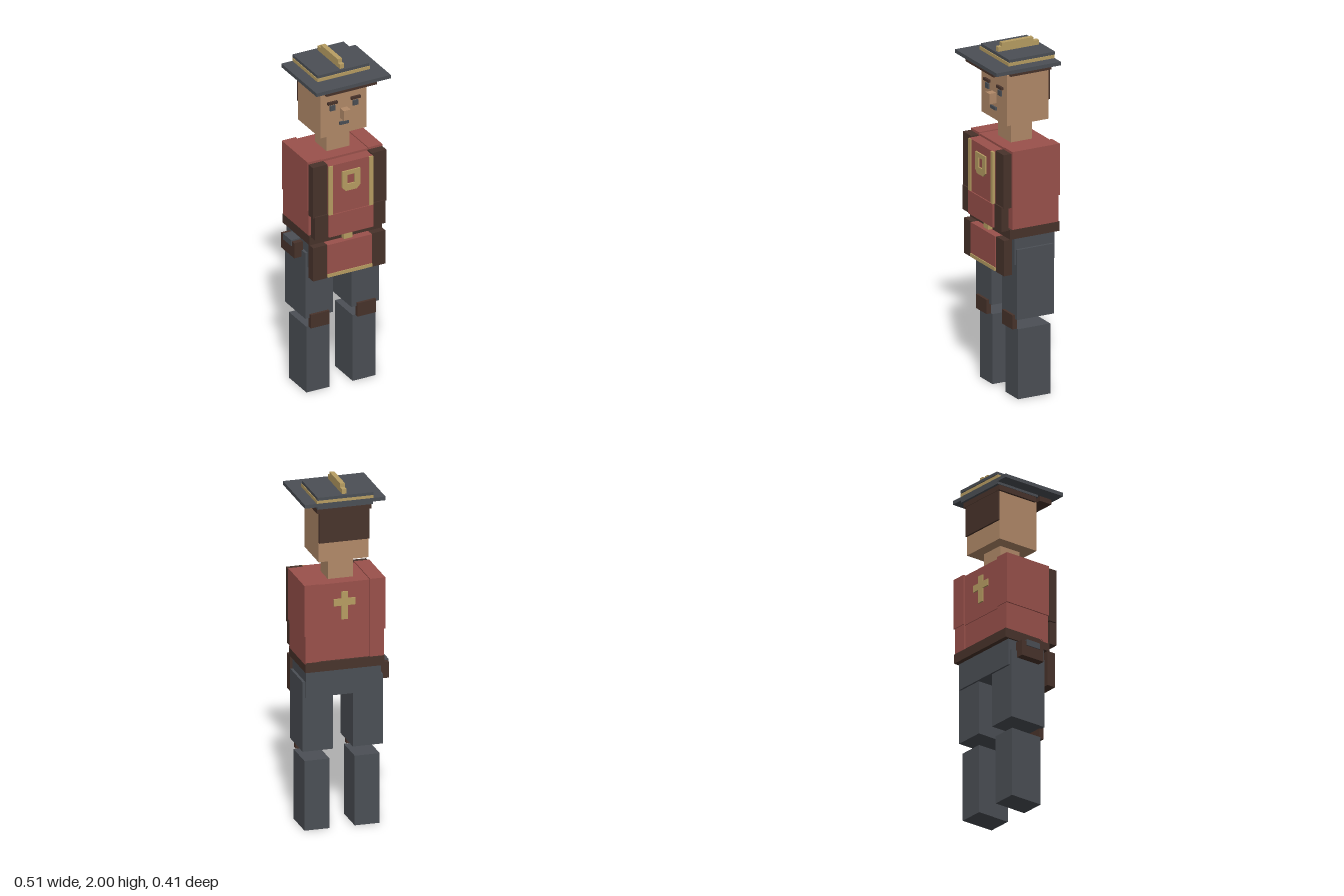
import * as THREE from 'three';

const paint = (name, color) => {
  const m = new THREE.MeshStandardMaterial({ color });
  m.name = name;
  return m;
};

export function createModel() {
  const slate = paint('slate', 0x4b4f55);
  const skin = paint('skin', 0xb28a69);
  const leather = paint('leather', 0x48332b);
  const red = paint('red', 0x9a514b);
  const gold = paint('gold', 0xb89e63);

  const model = new THREE.Group();
  model.name = 'soldier';
  const group = (name) => {
    const g = new THREE.Group();
    g.name = name;
    model.add(g);
    return g;
  };
  // Box given by its lower and upper limits on each axis
  const box = (parent, name, mat, [x0, x1], [y0, y1], [z0, z1]) => {
    const mesh = new THREE.Mesh(new THREE.BoxGeometry(x1 - x0, y1 - y0, z1 - z0), mat);
    mesh.position.set((x0 + x1) / 2, (y0 + y1) / 2, (z0 + z1) / 2);
    mesh.name = name;
    parent.add(mesh);
    return mesh;
  };
  // Body centre line, and a pair of boxes mirrored about it
  const C = 0.0225;
  const mid = (w) => [C - w / 2, C + w / 2];
  const pair = (parent, name, mat, [a, b], y, z) => {
    box(parent, name + 'Left', mat, [C + a, C + b], y, z);
    box(parent, name + 'Right', mat, [C - b, C - a], y, z);
  };

  // Legs
  const legs = group('legs');
  pair(legs, 'shin', slate, [0.072, 0.215], [0, 0.405], [-0.143, 0.058]);
  pair(legs, 'kneePad', leather, [0.088, 0.203], [0.405, 0.487], [0.06, 0.087]);
  pair(legs, 'thigh', slate, [0.057, 0.23], [0.465, 0.87], [-0.157, 0.072]);
  box(legs, 'hips', slate, mid(0.43), [0.78, 0.94], [-0.168, 0.08]);

  // Torso: chest, waist and side panels
  const torso = group('torso');
  box(torso, 'chest', red, mid(0.3), [1.14, 1.437], [-0.185, 0.1]);
  box(torso, 'waist', red, mid(0.29), [0.98, 1.14], [-0.181, 0.1]);
  pair(torso, 'chestSide', red, [0.145, 0.232], [1.146, 1.443], [-0.193, 0.103]);
  pair(torso, 'waistSide', red, [0.145, 0.225], [0.98, 1.146], [-0.189, 0.1]);
  box(torso, 'belt', leather, mid(0.45), [0.935, 0.99], [-0.195, 0.113]);
  box(torso, 'buckle', gold, mid(0.052), [0.937, 0.985], [0.113, 0.14]);

  // Cross on the back
  box(torso, 'crossUpright', gold, mid(0.038), [1.225, 1.385], [-0.194, -0.184]);
  box(torso, 'crossArm', gold, mid(0.125), [1.305, 1.345], [-0.193, -0.184]);

  // Tabard in front: chest, belly and skirt sections
  const tabard = group('tabard');
  box(tabard, 'chestPanel', red, mid(0.275), [1.125, 1.425], [0.1, 0.168]);
  pair(tabard, 'chestTrim', gold, [0.113, 0.138], [1.125, 1.425], [0.16, 0.174]);
  pair(tabard, 'chestBorder', leather, [0.138, 0.229], [1.12, 1.433], [0.108, 0.156]);
  box(tabard, 'bellyPanel', red, mid(0.275), [0.99, 1.125], [0.1, 0.175]);
  pair(tabard, 'bellyBorder', leather, [0.138, 0.219], [0.987, 1.128], [0.12, 0.164]);
  box(tabard, 'skirtPanel', red, mid(0.275), [0.757, 0.935], [0.1, 0.158]);
  box(tabard, 'skirtHem', gold, mid(0.275), [0.737, 0.757], [0.1, 0.163]);
  pair(tabard, 'skirtBorder', leather, [0.138, 0.224], [0.73, 0.935], [0.1, 0.152]);

  // Chest emblem: a stepped ring
  const ring = new THREE.Shape();
  [[-0.034, 0.008], [-0.056, 0.03], [-0.056, 0.13], [0.056, 0.13], [0.056, 0.03], [0.034, 0.008]]
    .forEach(([x, y], i) => (i ? ring.lineTo(x, y) : ring.moveTo(x, y)));
  const hole = new THREE.Path();
  [[-0.023, 0.048], [0.021, 0.048], [0.021, 0.104], [-0.023, 0.104]]
    .forEach(([x, y], i) => (i ? hole.lineTo(x, y) : hole.moveTo(x, y)));
  ring.holes.push(hole);
  const emblem = new THREE.Mesh(
    new THREE.ExtrudeGeometry(ring, { depth: 0.009, bevelEnabled: false }), gold);
  emblem.name = 'chestEmblem';
  emblem.position.set(C, 1.245, 0.168);
  tabard.add(emblem);

  // Belt pouch
  const pouch = group('pouch');
  box(pouch, 'pouchBody', leather, [-0.253, -0.2], [0.83, 0.922], [-0.12, 0.03]);
  box(pouch, 'pouchCap', slate, [-0.258, -0.2], [0.895, 0.93], [-0.09, 0.002]);

  // Head
  const head = group('head');
  box(head, 'neck', skin, mid(0.143), [1.43, 1.57], [-0.11, 0.024]);
  box(head, 'skull', skin, mid(0.286), [1.563, 1.855], [-0.172, 0.087]);
  box(head, 'backHair', leather, mid(0.286), [1.675, 1.855], [-0.183, -0.172]);
  pair(head, 'eyebrow', leather, [0.042, 0.102], [1.76, 1.775], [0.085, 0.101]);
  pair(head, 'eye', slate, [0.055, 0.087], [1.72, 1.75], [0.085, 0.097]);
  box(head, 'nose', skin, mid(0.043), [1.66, 1.72], [0.08, 0.13]);
  box(head, 'mouth', slate, mid(0.056), [1.62, 1.638], [0.085, 0.097]);

  // Hat
  const hat = group('hat');
  box(hat, 'sweatband', leather, mid(0.312), [1.85, 1.885], [-0.185, 0.072]);
  box(hat, 'hatBase', slate, mid(0.318), [1.88, 1.896], [-0.2, 0.085]);
  box(hat, 'brimLining', leather, mid(0.312), [1.865, 1.895], [0.1, 0.18]);
  box(hat, 'brim', slate, mid(0.462), [1.894, 1.915], [-0.2, 0.203]);
  box(hat, 'hatBand', gold, mid(0.325), [1.915, 1.934], [-0.2, 0.088]);
  box(hat, 'crown', slate, mid(0.318), [1.934, 1.951], [-0.205, 0.083]);
  box(hat, 'crestLower', gold, mid(0.027), [1.951, 1.978], [-0.185, 0.07]);
  box(hat, 'crestUpper', gold, mid(0.027), [1.978, 2], [-0.15, 0.046]);

  return model;
}
